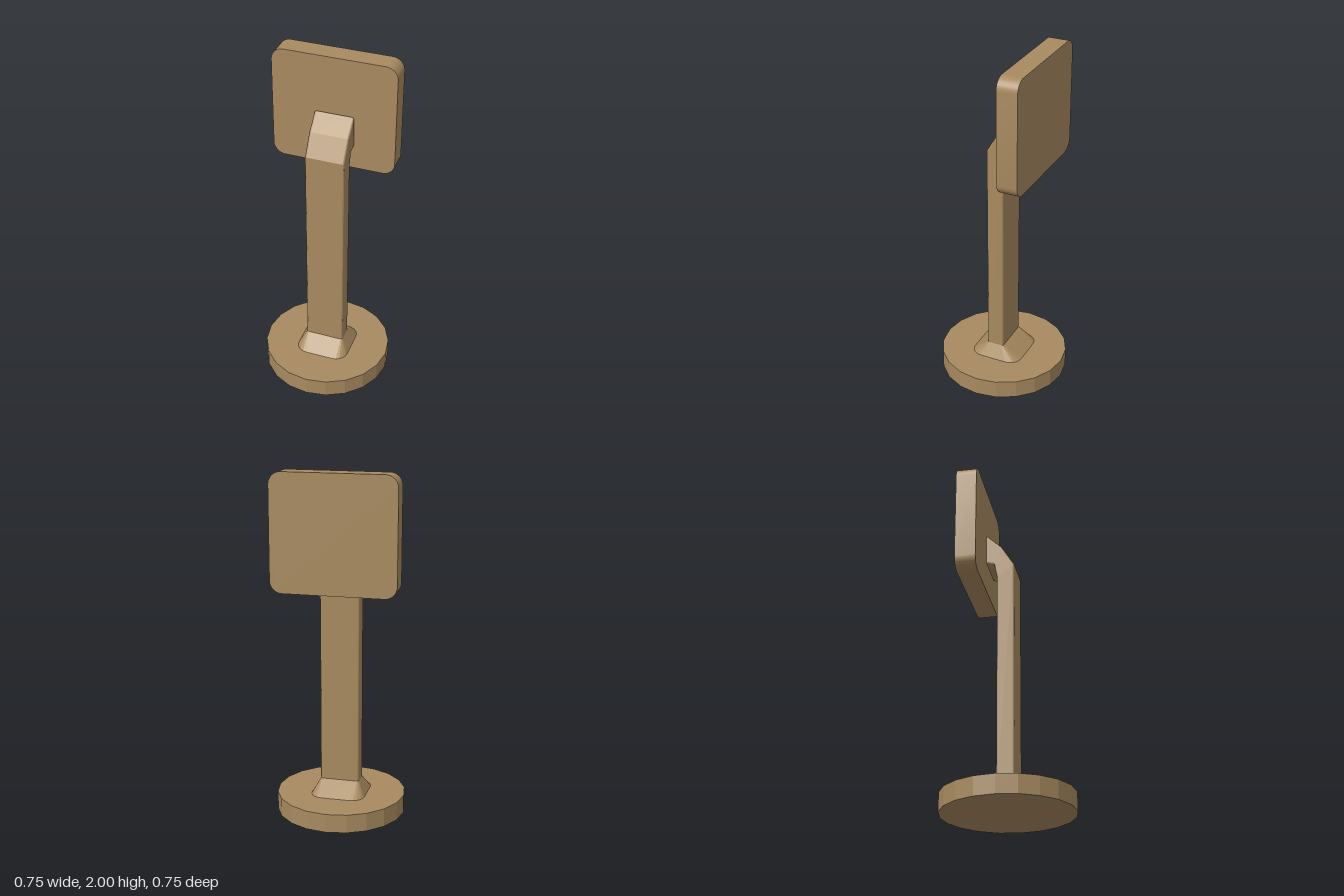
import * as THREE from 'three';
import { toCreasedNormals } from 'three/addons/utils/BufferGeometryUtils.js';

// Rounded-rectangle ring between a front and a back point [z, y]
function ring({ front, back, halfWidth, radius }, steps = 5) {
  const f = new THREE.Vector3(0, front[1], front[0]);
  const b = new THREE.Vector3(0, back[1], back[0]);
  const mid = f.clone().add(b).multiplyScalar(0.5);
  const dir = f.clone().sub(b);
  const halfDepth = dir.length() / 2;
  dir.normalize();
  const points = [];
  for (let corner = 0; corner < 4; corner++) {
    const sx = corner === 0 || corner === 3 ? 1 : -1;
    const sd = corner < 2 ? 1 : -1;
    for (let i = 0; i <= steps; i++) {
      const a = (corner + i / steps) * Math.PI / 2;
      const p = mid.clone().addScaledVector(dir, sd * (halfDepth - radius) + radius * Math.sin(a));
      p.x = sx * (halfWidth - radius) + radius * Math.cos(a);
      points.push(p);
    }
  }
  return { points, mid };
}

// Closed, faceted skin through a series of rings, bottom to top
function loft(sections) {
  const rings = sections.map((s) => ring(s));
  const n = rings[0].points.length;
  const out = [];
  const tri = (...ps) => ps.forEach((p) => out.push(p.x, p.y, p.z));
  const last = rings[rings.length - 1];
  for (let i = 0; i < n; i++) {
    const j = (i + 1) % n;
    for (let k = 0; k + 1 < rings.length; k++) {
      const lo = rings[k].points, hi = rings[k + 1].points;
      tri(lo[i], hi[i], lo[j]);
      tri(lo[j], hi[i], hi[j]);
    }
    tri(rings[0].mid, rings[0].points[i], rings[0].points[j]);
    tri(last.mid, last.points[j], last.points[i]);
  }
  const g = new THREE.BufferGeometry();
  g.setAttribute('position', new THREE.Float32BufferAttribute(out, 3));
  g.computeVertexNormals();
  return g;
}

function roundedRect(w, h, r) {
  const s = new THREE.Shape(), x = w / 2, y = h / 2;
  s.absarc(x - r, y - r, r, 0, Math.PI / 2);
  s.absarc(-x + r, y - r, r, Math.PI / 2, Math.PI);
  s.absarc(-x + r, -y + r, r, Math.PI, Math.PI * 1.5);
  s.absarc(x - r, -y + r, r, Math.PI * 1.5, Math.PI * 2);
  s.closePath();
  return s;
}

export function createModel() {
  const model = new THREE.Group();
  model.name = 'pedestalStand';
  const tan = new THREE.MeshStandardMaterial({ color: 0xa88a60 });
  tan.name = 'tan';

  const add = (name, geometry, x = 0, y = 0, z = 0) => {
    const mesh = new THREE.Mesh(geometry, tan);
    mesh.name = name;
    mesh.position.set(x, y, z);
    model.add(mesh);
  };

  // Twenty-sided foot disc
  const disc = new THREE.CylinderGeometry(0.375, 0.375, 0.108, 20).toNonIndexed();
  disc.computeVertexNormals();
  add('base', disc, 0, 0.054, 0);

  // Flared collar where the post meets the base
  const postFoot = { front: [0.055, 0.187], back: [-0.046, 0.187], halfWidth: 0.114, radius: 0.012 };
  add('collar', loft([
    { front: [0.156, 0.107], back: [-0.156, 0.107], halfWidth: 0.158, radius: 0.075 },
    postFoot,
  ]));

  // Upright post, bending back at the top to carry the panel
  const size = { halfWidth: 0.114, radius: 0.012 };
  add('post', loft([
    postFoot,
    { front: [0.055, 1.46], back: [-0.046, 1.38], ...size },
    { front: [-0.018, 1.58], back: [-0.062, 1.465], ...size },
    { front: [-0.108, 1.665], back: [-0.108, 1.477], ...size },
  ]));

  // Upright panel with rounded corners
  const panel = new THREE.ExtrudeGeometry(roundedRect(0.714, 0.667, 0.07), {
    depth: 0.12, bevelEnabled: false, curveSegments: 10,
  });
  add('panel', toCreasedNormals(panel, 0.6), -0.009, 1.6665, -0.24);

  return model;
}
